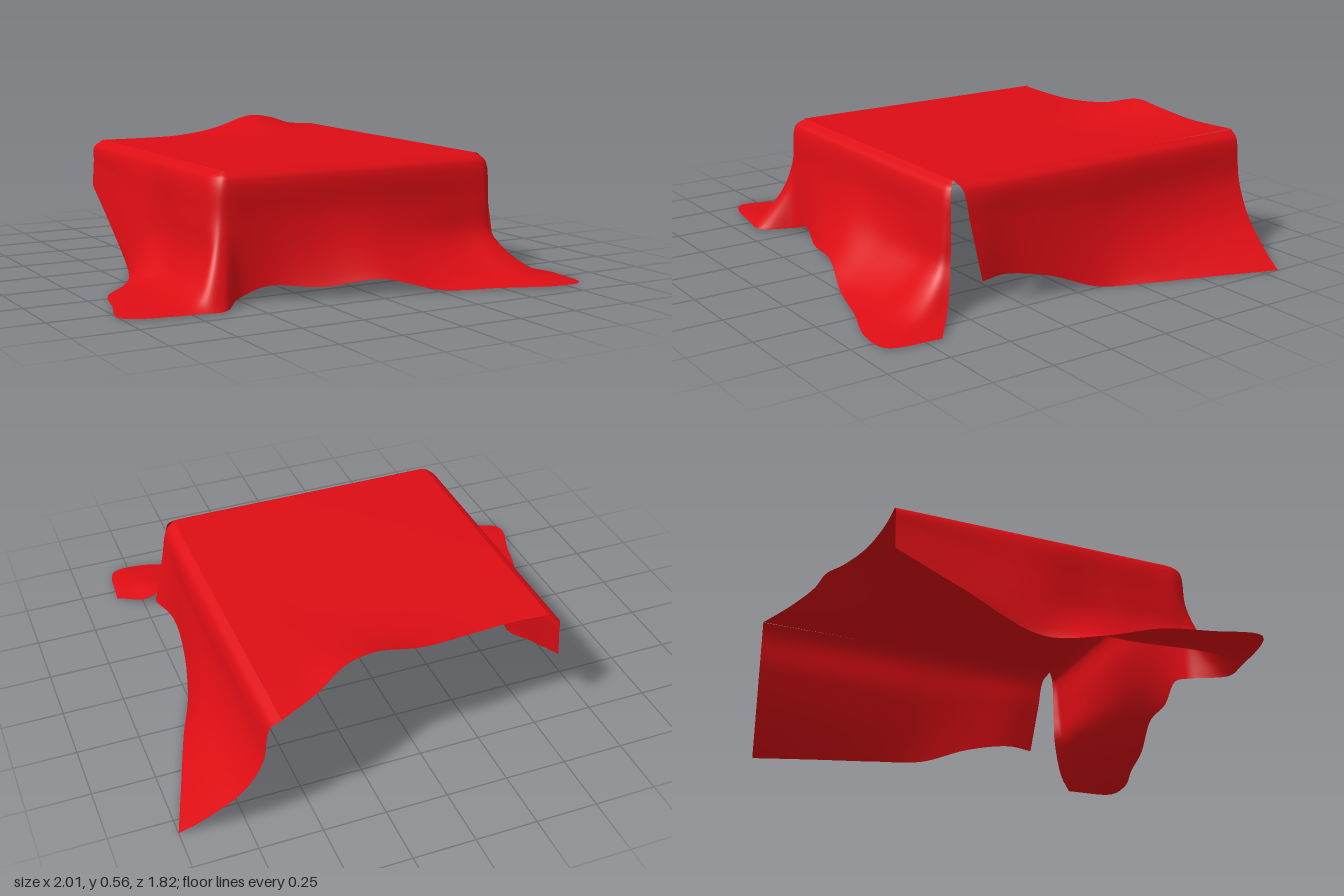
import * as THREE from 'three';

const TOP = 0.49, LEFT = 0.615, RIGHT = -0.55, FRONT = 0.48;
const curve = (pts) => new THREE.CatmullRomCurve3(pts, false, 'centripetal');
const vec = (x, y, z) => new THREE.Vector3(x, y, z);

// Smooth surface through rows of points; rows run left to right, points run downwards.
function loft(rows, nu, nv) {
  const columns = rows[0].map((_, j) => curve(rows.map((r) => r[j])));
  const pos = [], index = [];
  for (let i = 0; i <= nu; i++) {
    const section = curve(columns.map((c) => c.getPoint(i / nu)));
    for (let j = 0; j <= nv; j++) {
      const p = section.getPoint(j / nv);
      pos.push(p.x, Math.max(p.y, 0), p.z);
      if (i < nu && j < nv) {
        const a = i * (nv + 1) + j, b = a + nv + 1;
        index.push(a, a + 1, b, a + 1, b + 1, b);
      }
    }
  }
  const g = new THREE.BufferGeometry();
  g.setAttribute('position', new THREE.Float32BufferAttribute(pos, 3));
  g.setIndex(index);
  g.computeVertexNormals();
  return g;
}

// One hanging strip: rounded shoulder at the rim, then a fall to the hem.
// A higher flare keeps the cloth steep for longer before it spreads on the ground.
function strip(rimX, rimZ, hemX, hemY, hemZ, flare) {
  const rim = vec(rimX, TOP, rimZ);
  const out = vec(hemX - rimX, 0, hemZ - rimZ).normalize();
  const shoulder = rim.clone().addScaledVector(out, 0.042).setY(0.46);
  const fall = [0.35, 0.65, 0.92, 1].map((t) => {
    const w = 0.15 * t + 0.85 * t ** flare;
    return vec(
      THREE.MathUtils.lerp(shoulder.x, hemX, w),
      THREE.MathUtils.lerp(shoulder.y, hemY, t),
      THREE.MathUtils.lerp(shoulder.z, hemZ, w),
    );
  });
  return [rim, shoulder, ...fall];
}

export function createModel() {
  const group = new THREE.Group();
  group.name = 'drapedCloth';
  const material = new THREE.MeshStandardMaterial({ color: 0xdd0d14, side: THREE.DoubleSide });
  const add = (name, geometry) => {
    const mesh = new THREE.Mesh(geometry, material);
    mesh.name = name;
    group.add(mesh);
  };

  // Flat top with a wavy back edge, lifted in one soft wave: [x, back z]
  const backEdge = [
    [RIGHT, -0.7], [-0.4, -0.69], [-0.2, -0.7], [0, -0.73],
    [0.2, -0.75], [0.32, -0.765], [0.45, -0.83], [LEFT, -0.905],
  ];
  add('clothTop', loft(backEdge.map(([x, z]) => {
    const lift = 0.072 * Math.exp(-(((x - 0.22) / 0.2) ** 2));
    return [
      vec(x, TOP + lift, z), vec(x, TOP + lift * 0.3, -0.6),
      vec(x, TOP, -0.45), vec(x, TOP, 0.1), vec(x, TOP, FRONT),
    ];
  }), 40, 32));

  // Right side hem: [x, y, z, flare]
  const rightHem = [
    [-0.603, 0.29, -0.71, 1], [-0.63, 0.16, -0.45, 1], [-0.67, 0.01, -0.15, 1],
    [-0.77, 0.005, 0.06, 7], [-0.905, 0.005, 0.22, 18],
  ].map(([x, y, z, flare]) => strip(RIGHT, z, x, y, z, flare));
  // Folded corner between the right side and the front
  const cornerHem = [
    strip(RIGHT, 0.36, -0.96, 0.005, 0.4, 18),
    strip(RIGHT, 0.45, -1, 0.005, 0.59, 18),
    strip(-0.545, 0.475, -0.73, 0.005, 0.665, 3),
    strip(-0.54, FRONT, -0.63, 0.005, 0.67, 3),
  ];
  // Front hem, running out onto the ground at the left: [x, y, z, flare]
  const frontHem = [
    [-0.52, 0.02, 0.56, 1], [-0.4, 0.055, 0.565, 1], [-0.2, 0.042, 0.63, 2],
    [0.03, 0.06, 0.685, 2.5], [0.25, 0.008, 0.76, 4], [0.48, 0.005, 0.83, 7],
  ].map(([x, y, z, flare]) => strip(x, FRONT, x, y, z, flare));
  const frontEnd = [
    strip(0.57, FRONT, 0.69, 0.005, 0.905, 8),
    strip(0.595, FRONT, 0.82, 0.005, 0.895, 10),
    strip(0.605, FRONT, 0.855, 0.005, 0.69, 12),
  ];
  add('rightAndFrontDrape', loft([...rightHem, ...cornerHem, ...frontHem, ...frontEnd], 110, 24));

  // Left side, separated from the front by an open slit and flaring backwards: [rim z, x, y, z, flare]
  const leftHem = [
    [0.48, 0.735, 0.13, 0.435, 1], [0.3, 0.695, 0.12, 0.3, 1], [0.1, 0.707, 0.075, 0.1, 1],
    [-0.1, 0.755, 0.005, -0.1, 1.5], [-0.3, 0.83, 0.002, -0.3, 2.5],
    [-0.57, 0.915, 0.002, -0.56, 3], [-0.905, 1, 0, -0.82, 3],
  ];
  add('leftDrape', loft(leftHem.map(([rimZ, x, y, z, flare]) => strip(LEFT, rimZ, x, y, z, flare)), 48, 24));

  return group;
}
